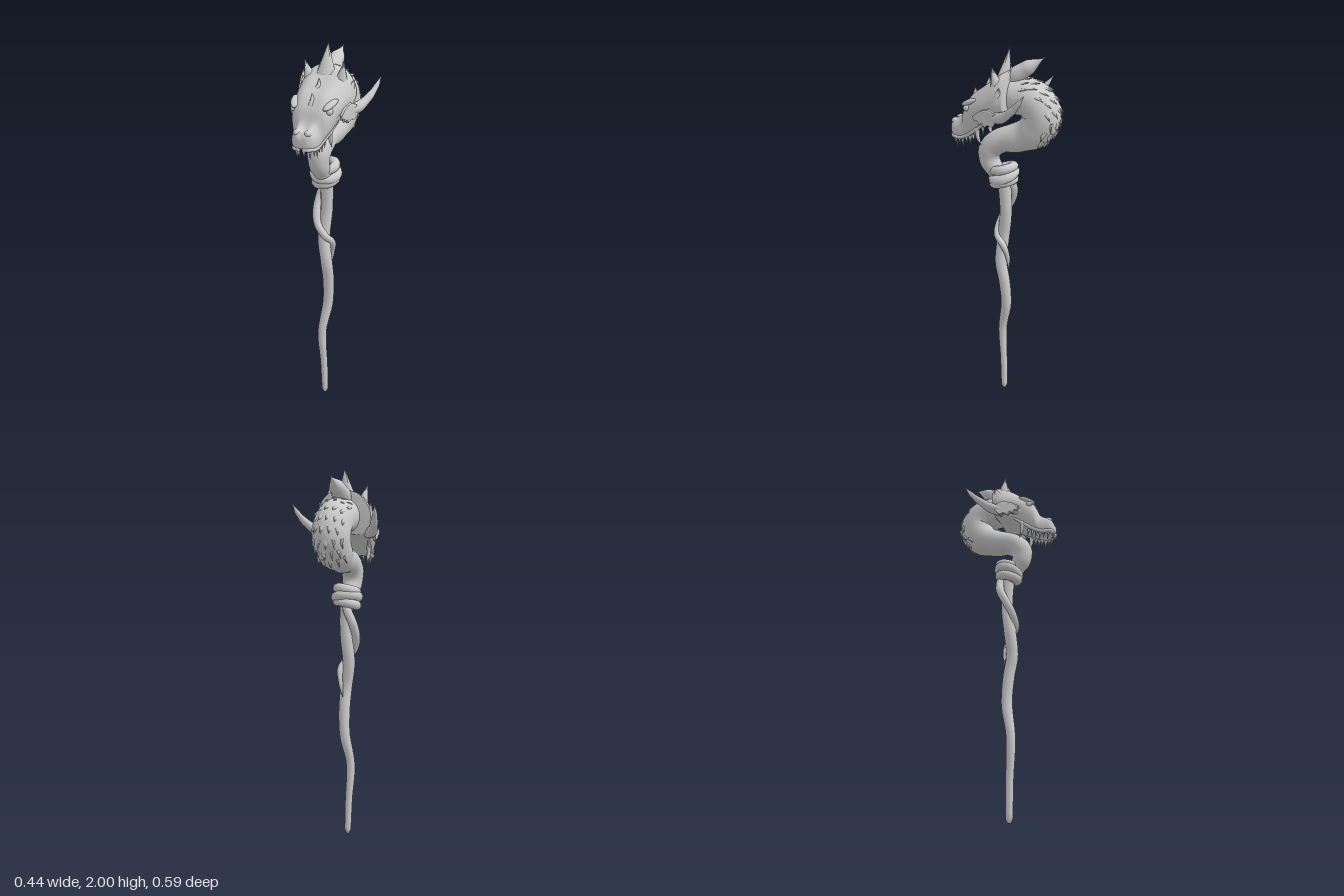
import * as THREE from 'three';

const V = (x, y, z) => new THREE.Vector3(x, y, z);
const mat = new THREE.MeshStandardMaterial({ color: 0xcccccc, roughness: 0.8 });
const matDouble = new THREE.MeshStandardMaterial({ color: 0xcccccc, roughness: 0.8, side: THREE.DoubleSide });

function add(parent, name, geo, material = mat) {
  const m = new THREE.Mesh(geo, material);
  m.name = name;
  parent.add(m);
  return m;
}

// Skin over closed rings of equal length, with a fan at both ends
function loft(rings) {
  const n = rings[0].length, pos = [], idx = [];
  rings.forEach(r => r.forEach(p => pos.push(p.x, p.y, p.z)));
  for (let i = 0; i < rings.length - 1; i++)
    for (let j = 0; j < n; j++) {
      const a = i * n + j, b = i * n + (j + 1) % n;
      idx.push(a, b, a + n, b, b + n, a + n);
    }
  [0, rings.length - 1].forEach(i => {
    const c = pos.length / 3, mid = V(0, 0, 0);
    rings[i].forEach(p => mid.addScaledVector(p, 1 / n));
    pos.push(mid.x, mid.y, mid.z);
    for (let j = 0; j < n; j++) {
      const a = i * n + j, b = i * n + (j + 1) % n;
      i ? idx.push(a, b, c) : idx.push(b, a, c);
    }
  });
  const g = new THREE.BufferGeometry();
  g.setAttribute('position', new THREE.Float32BufferAttribute(pos, 3));
  g.setIndex(idx);
  g.computeVertexNormals();
  return g;
}

// Tube through [x, y, z, radius] stations
function sweep(stations, steps = 40, sides = 14) {
  const curve = new THREE.CatmullRomCurve3(stations.map(s => V(s[0], s[1], s[2])));
  const frames = curve.computeFrenetFrames(steps);
  const rings = [];
  for (let i = 0; i <= steps; i++) {
    const u = i / steps, t = curve.getUtoTmapping(u) * (stations.length - 1);
    const k = Math.min(Math.floor(t), stations.length - 2);
    const r = THREE.MathUtils.lerp(stations[k][3], stations[k + 1][3], THREE.MathUtils.smoothstep(t - k, 0, 1));
    const c = curve.getPointAt(u), ring = [];
    for (let j = 0; j < sides; j++) {
      const a = j / sides * Math.PI * 2;
      ring.push(c.clone().addScaledVector(frames.normals[i], r * Math.cos(a)).addScaledVector(frames.binormals[i], r * Math.sin(a)));
    }
    rings.push(ring);
  }
  return loft(rings);
}

// Cone from base to tip, with separate half widths
function spike(parent, name, base, tip, rx, rz = rx, sides = 8) {
  const d = tip.clone().sub(base), len = d.length();
  const g = new THREE.ConeGeometry(1, len, sides, 1).translate(0, len / 2, 0).scale(rx, 1, rz);
  const m = add(parent, name, g);
  m.position.copy(base);
  m.quaternion.setFromUnitVectors(V(0, 1, 0), d.normalize());
  return m;
}

function ball(parent, name, p, s) {
  const m = add(parent, name, new THREE.SphereGeometry(1, 16, 10));
  m.position.copy(p);
  m.scale.copy(s);
  return m;
}

// Head sections: z, top y, upper x y, side x y, lower x y, bottom y
const HEAD = [
  [0.285, 1.6, 0.02, 1.605, 0.03, 1.58, 0.02, 1.56, 1.56],
  [0.268, 1.628, 0.036, 1.632, 0.053, 1.597, 0.042, 1.552, 1.55],
  [0.235, 1.638, 0.036, 1.648, 0.062, 1.605, 0.053, 1.548, 1.55],
  [0.212, 1.665, 0.042, 1.665, 0.067, 1.62, 0.058, 1.552, 1.555],
  [0.19, 1.72, 0.06, 1.715, 0.09, 1.67, 0.064, 1.568, 1.565],
  [0.15, 1.77, 0.065, 1.77, 0.108, 1.71, 0.075, 1.595, 1.59],
  [0.1, 1.81, 0.075, 1.805, 0.123, 1.735, 0.088, 1.63, 1.625],
  [0.05, 1.845, 0.083, 1.84, 0.132, 1.755, 0.102, 1.66, 1.655],
  [0, 1.885, 0.09, 1.868, 0.145, 1.765, 0.112, 1.678, 1.675],
  [-0.037, 1.9, 0.09, 1.875, 0.145, 1.775, 0.1, 1.69, 1.69],
];

function headGeometry() {
  const rings = HEAD.map(([z, top, ax, ay, bx, by, cx, cy, bot]) => new THREE.CatmullRomCurve3([
    V(0, top, z), V(ax, ay, z), V(bx, by, z), V(cx, cy, z),
    V(0, bot, z), V(-cx, cy, z), V(-bx, by, z), V(-ax, ay, z)], true));
  const pts = rings.map(c => c.getPoints(40).slice(0, 40));
  const lines = pts[0].map((_, j) => new THREE.CatmullRomCurve3(pts.map(r => r[j])).getPoints(36));
  return loft(lines[0].map((_, i) => lines.map(l => l[i])));
}

export function createModel() {
  const model = new THREE.Group();
  model.name = 'dragonStaff';

  // Crooked wooden shaft and the vine twisting up it
  add(model, 'shaft', sweep([
    [-0.005, 0.003, 0.012, 0.008], [-0.005, 0.02, 0.012, 0.018], [-0.009, 0.2, 0.016, 0.02], [-0.016, 0.42, 0.025, 0.024],
    [0.006, 0.6, -0.004, 0.029], [0.012, 0.75, 0.005, 0.031], [0.01, 0.86, 0.025, 0.032], [-0.008, 1.0, 0.018, 0.033],
    [0, 1.15, 0, 0.032], [0.004, 1.34, 0.008, 0.034]], 60));
  add(model, 'vine', sweep([
    [0.012, 0.82, -0.02, 0.003], [0.024, 0.9, -0.02, 0.012], [0.034, 0.97, 0.0, 0.017], [0.012, 1.02, 0.044, 0.019],
    [-0.03, 1.08, 0.045, 0.02], [-0.05, 1.15, 0.015, 0.022], [-0.045, 1.23, -0.022, 0.023], [-0.022, 1.29, -0.032, 0.023],
    [0, 1.35, -0.02, 0.02]], 50, 12));

  // Tilted coils at the top of the shaft
  [[1.325, 0.052, 0.025, 0.3, 0.12], [1.358, 0.058, 0.026, 0.35, -0.16], [1.395, 0.05, 0.025, 0.3, 0.1]].forEach(([y, R, r, tx, tz]) => {
    const ring = add(model, 'collarCoil', new THREE.TorusGeometry(R, r, 10, 28).rotateX(Math.PI / 2));
    ring.position.set(0, y, 0.01);
    ring.rotation.set(tx, 0, tz);
  });

  // Curled neck
  const neck = [
    [0, 1.3, 0.01, 0.035], [0, 1.37, 0.05, 0.045], [0, 1.43, 0.088, 0.053], [0, 1.49, 0.083, 0.06], [0, 1.54, 0.025, 0.063],
    [0, 1.568, -0.07, 0.075], [0, 1.615, -0.152, 0.09], [0, 1.695, -0.185, 0.095], [0, 1.76, -0.14, 0.095],
    [0, 1.772, -0.06, 0.09], [0, 1.765, 0.02, 0.08]];
  add(model, 'neck', sweep(neck, 60, 24));

  // Overlapping scales down the back of the neck
  const scales = new THREE.Group();
  scales.name = 'neckScales';
  model.add(scales);
  const spine = new THREE.CatmullRomCurve3(neck.map(s => V(s[0], s[1], s[2])));
  for (let i = 0; i < 8; i++) {
    const t = 0.61 + i * 0.036, k = Math.floor(t * 10);
    const r = THREE.MathUtils.lerp(neck[k][3], neck[k + 1][3], t * 10 - k);
    const T = spine.getTangent(t), out = T.clone().cross(V(1, 0, 0));
    for (let j = -2; j <= 2; j++) {
      const a = (j + (i % 2) * 0.5 - 0.25) * 0.42;
      const n = out.clone().multiplyScalar(Math.cos(a)).add(V(Math.sin(a), 0, 0));
      const base = spine.getPoint(t).addScaledVector(n, r * 0.93);
      spike(scales, 'neckScale', base, base.clone().addScaledVector(T, -0.045).addScaledVector(n, 0.015), 0.017, 0.008, 5);
    }
  }

  // Head
  const head = new THREE.Group();
  head.name = 'head';
  model.add(head);
  add(head, 'skull', headGeometry());
  spike(head, 'centreCrestSpike', V(0, 1.85, 0.01), V(0, 2, -0.02), 0.055, 0.035);
  add(head, 'backHorn', sweep([[0, 1.83, -0.01, 0.035], [0, 1.875, -0.06, 0.042], [0, 1.91, -0.11, 0.036], [0, 1.965, -0.195, 0.002]], 20, 12)
    .scale(1.15, 1, 1));
  spike(head, 'foreheadSpike', V(0, 1.78, 0.09), V(0, 1.855, 0.085), 0.022, 0.03);
  spike(head, 'browSpike', V(0, 1.74, 0.155), V(0, 1.795, 0.16), 0.016, 0.03);

  for (const s of [1, -1]) {
    add(head, 'sideHorn', sweep([[s * 0.115, 1.69, 0.02, 0.03], [s * 0.15, 1.7, -0.03, 0.028], [s * 0.183, 1.74, -0.09, 0.02],
      [s * 0.203, 1.785, -0.135, 0.013], [s * 0.215, 1.83, -0.168, 0.003]], 24, 12));
    spike(head, 'sideCrestSpike', V(s * 0.08, 1.82, 0.01), V(s * 0.105, 1.925, 0.03), 0.036, 0.038);
    spike(head, 'templeSpike', V(s * 0.115, 1.77, 0), V(s * 0.142, 1.84, -0.02), 0.032, 0.035);

    // Eye under a heavy brow
    ball(head, 'eye', V(s * 0.094, 1.715, 0.165), V(0.015, 0.017, 0.02));
    const brow = ball(head, 'brow', V(s * 0.094, 1.745, 0.155), V(0.02, 0.013, 0.05));
    brow.rotation.set(0.45, -s * 0.35, 0);
    const cheek = ball(head, 'cheek', V(s * 0.1, 1.69, 0.075), V(0.03, 0.026, 0.07));
    cheek.rotation.set(0.4, s * -0.15, 0);

    // Nostril bump and lip
    ball(head, 'nostril', V(s * 0.03, 1.625, 0.255), V(0.02, 0.018, 0.024));
    add(head, 'lip', sweep([[s * 0.008, 1.552, 0.283, 0.01], [s * 0.042, 1.552, 0.266, 0.011], [s * 0.055, 1.55, 0.225, 0.011],
      [s * 0.064, 1.57, 0.18, 0.01], [s * 0.078, 1.605, 0.13, 0.01], [s * 0.095, 1.65, 0.07, 0.006]], 24, 8));

    // Jagged cheek fin, drawn as z against y
    const fin = new THREE.Shape();
    [[0.12, 1.69], [0.11, 1.665], [0.095, 1.672], [0.085, 1.65], [0.07, 1.662], [0.055, 1.642], [0.035, 1.658], [0.01, 1.65],
      [-0.012, 1.68], [-0.005, 1.72], [0.03, 1.735], [0.08, 1.72]].forEach(([z, y], i) => i ? fin.lineTo(z, y) : fin.moveTo(z, y));
    const g = new THREE.ExtrudeGeometry(fin, { depth: 0.012, bevelEnabled: false });
    const p = g.attributes.position;
    for (let i = 0; i < p.count; i++) {
      const z = p.getX(i), y = p.getY(i), d = p.getZ(i);
      p.setXYZ(i, s * (0.152 - z * 0.22 + d - 0.2 * Math.abs(y - 1.69)), y, z);
    }
    g.computeVertexNormals();
    add(head, 'cheekFin', g, matDouble);

    // Upper teeth and a long rear fang
    for (let i = 0; i < 7; i++) {
      const z = 0.278 - i * 0.021, x = s * [0.014, 0.036, 0.047, 0.052, 0.054, 0.057, 0.061][i];
      const y = 1.55 + Math.max(0, i - 3) * 0.008, len = i % 2 ? 0.056 : 0.044;
      spike(head, 'tooth', V(x, y, z), V(x * 0.95, y - len, z - 0.008), 0.009, 0.009, 7);
    }
    add(head, 'fang', sweep([[s * 0.078, 1.62, 0.12, 0.013], [s * 0.077, 1.57, 0.118, 0.01], [s * 0.074, 1.525, 0.1, 0.001]], 10, 8));
  }
  return model;
}
